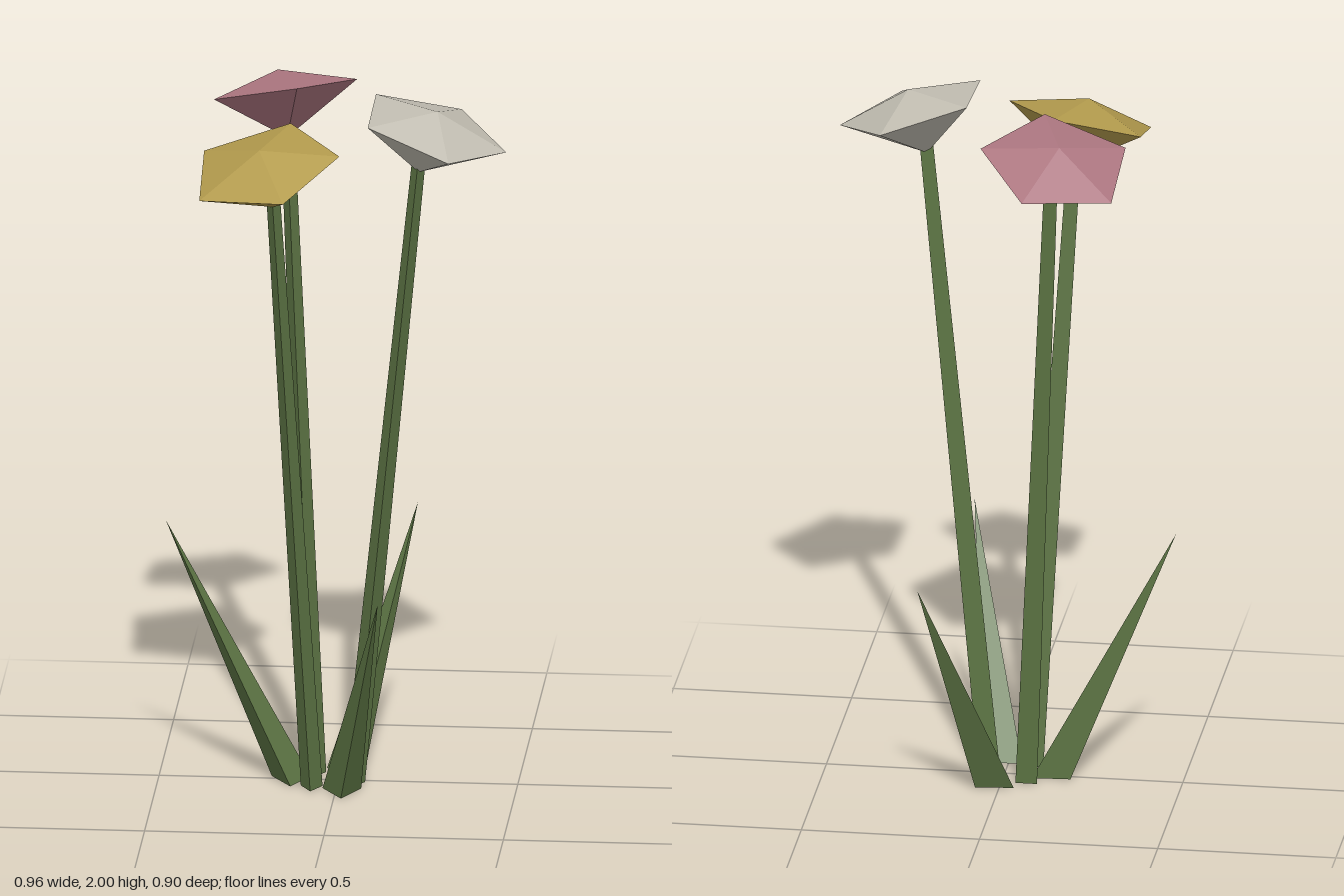
import * as THREE from 'three';

const paint = (name, color) => {
  const m = new THREE.MeshStandardMaterial({ color });
  m.name = name;
  return m;
};

// Split the faces so every facet gets its own flat normal
function faceted(geometry) {
  const g = geometry.toNonIndexed();
  g.computeVertexNormals();
  return g;
}

// Slide each level of an upright shape so its axis runs from base to tip
function lean(geometry, base, tip) {
  const height = tip[1] - base[1];
  geometry.translate(0, height / 2, 0);
  const p = geometry.attributes.position;
  for (let i = 0; i < p.count; i++) {
    const t = p.getY(i) / height;
    p.setX(i, p.getX(i) + base[0] + (tip[0] - base[0]) * t);
    p.setZ(i, p.getZ(i) + base[2] + (tip[2] - base[2]) * t);
  }
  return faceted(geometry);
}

export function createModel() {
  const model = new THREE.Group();
  model.name = 'flowers';
  const green = paint('leaf green', 0x5d7544);
  const white = paint('petal white', 0xc2beb2);
  const pink = paint('petal pink', 0xac7680);
  const yellow = paint('petal yellow', 0xb39b4d);

  const add = (parent, name, geometry, material) => {
    const mesh = new THREE.Mesh(geometry, material);
    mesh.name = name;
    parent.add(mesh);
    return mesh;
  };

  // Flowers: a three-sided stem with a tilted five-sided head
  const flowers = [
    { name: 'whiteFlower', material: white, base: [0.045, 0, 0.03], top: [0.23, 1.81, 0.085], axis: [0.3, 1, 0.07] },
    { name: 'pinkFlower', material: pink, base: [-0.07, 0, -0.05], top: [-0.16, 1.805, -0.212], axis: [-0.168, 1, -0.29] },
    { name: 'yellowFlower', material: yellow, base: [-0.07, 0, 0.075], top: [-0.165, 1.742, 0.222], axis: [-0.187, 1, 0.28] },
  ];
  const headProfile = [[0, 0], [0.216, 0.134], [0, 0.19]].map(([x, y]) => new THREE.Vector2(x, y));
  const up = new THREE.Vector3(0, 1, 0);
  for (const { name, material, base, top, axis } of flowers) {
    const flower = new THREE.Group();
    flower.name = name;
    model.add(flower);

    const stemTop = [top[0], top[1] + 0.03, top[2]];
    add(flower, 'stem', lean(new THREE.CylinderGeometry(0.022, 0.035, stemTop[1], 3), base, stemTop), green);

    const head = add(flower, 'head', faceted(new THREE.LatheGeometry(headProfile, 5, Math.PI / 2)), material);
    head.position.set(...top);
    head.quaternion.setFromUnitVectors(up, new THREE.Vector3(...axis).normalize());
  }

  // Leaves: three-sided spikes leaning outward, one edge facing away from the middle
  const leaves = [
    { name: 'frontLeaf', base: [0.017, 0, 0.105], tip: [0.143, 0.685 - 0.035, 0.415], turn: 0.05 },
    { name: 'backLeaf', base: [0.017, 0, -0.081], tip: [0.19, 0.69, -0.392], turn: 2.22 },
    { name: 'rightLeaf', base: [-0.132, 0, 0.008], tip: [-0.482, 0.745, -0.006], turn: -2.04 },
  ];
  for (const { name, base, tip, turn } of leaves) {
    add(model, name, lean(new THREE.ConeGeometry(0.062, tip[1], 3, 1, false, turn), base, tip), green);
  }

  return model;
}
